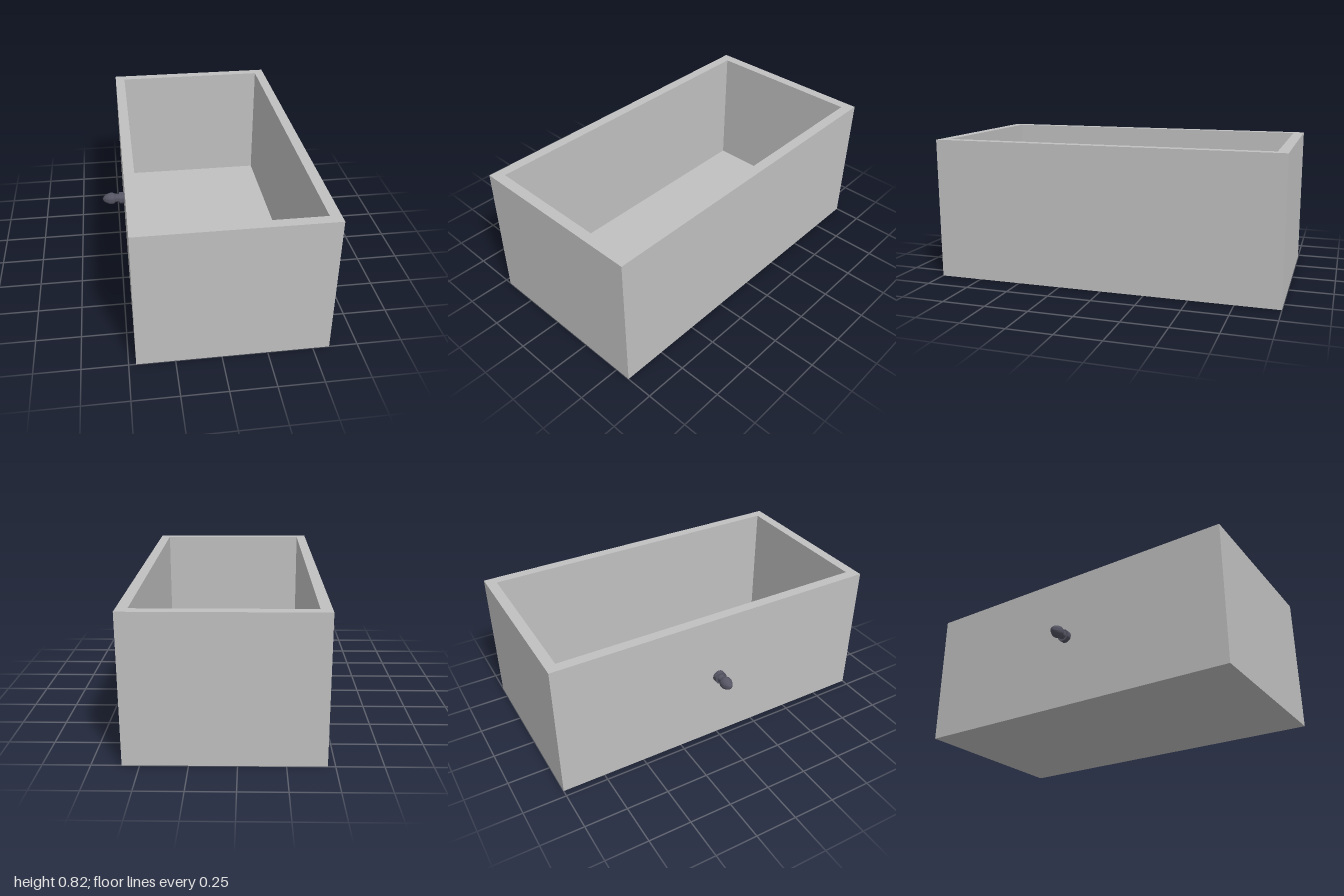
import * as THREE from 'three';
import { toCreasedNormals } from 'three/addons/utils/BufferGeometryUtils.js';

const grey = new THREE.MeshStandardMaterial({ name: 'light grey', color: 0xc0c0c0 });
const slate = new THREE.MeshStandardMaterial({ name: 'dark slate', color: 0x555564 });

// Drawer dimensions
const X0 = -0.46, X1 = 0.592, Z = 1, HEIGHT = 0.818, WALL = 0.06, FLOOR = 0.06;

// Four corners of a level rectangle, inset from the outer walls
function ring(y, inset) {
  const a = X0 + inset, b = X1 - inset, c = Z - inset;
  return [[a, y, c], [b, y, c], [b, y, -c], [a, y, -c]];
}

// Open box: outer walls, rim and inner walls are joined rings, closed by two caps
function openBoxGeometry() {
  const rings = [ring(0, 0), ring(HEIGHT, 0), ring(HEIGHT, WALL), ring(FLOOR, WALL)];
  const positions = [];
  const quad = (a, b, c, d) => positions.push(...a, ...b, ...c, ...a, ...c, ...d);
  for (let r = 0; r < rings.length - 1; r++) {
    for (let i = 0; i < 4; i++) {
      const j = (i + 1) % 4;
      quad(rings[r][i], rings[r][j], rings[r + 1][j], rings[r + 1][i]);
    }
  }
  quad(...rings[3]);
  quad(...[...rings[0]].reverse());
  const geometry = new THREE.BufferGeometry();
  geometry.setAttribute('position', new THREE.Float32BufferAttribute(positions, 3));
  geometry.computeVertexNormals();
  return geometry;
}

// Turned knob: collar, waisted neck and pointed bulb as [radius, distance from wall]
function knobGeometry() {
  const bulb = new THREE.SplineCurve([
    [0.024, 0.054], [0.032, 0.062], [0.036, 0.076], [0.033, 0.095],
    [0.024, 0.113], [0.012, 0.127], [0, 0.133],
  ].map(([r, h]) => new THREE.Vector2(r, h))).getPoints(18);
  const foot = [[0, 0], [0.036, 0], [0.036, 0.03], [0.025, 0.03], [0.0235, 0.042]]
    .map(([r, h]) => new THREE.Vector2(r, h));
  bulb[bulb.length - 1].x = 0;
  return toCreasedNormals(new THREE.LatheGeometry([...foot, ...bulb], 32), 0.7);
}

export function createModel() {
  const model = new THREE.Group();
  model.name = 'drawer';

  const box = new THREE.Mesh(openBoxGeometry(), grey);
  box.name = 'drawerBox';

  const knob = new THREE.Mesh(knobGeometry(), slate);
  knob.name = 'knob';
  knob.rotation.z = Math.PI / 2;
  knob.position.set(X0, 0.426, 0);

  model.add(box, knob);
  return model;
}
